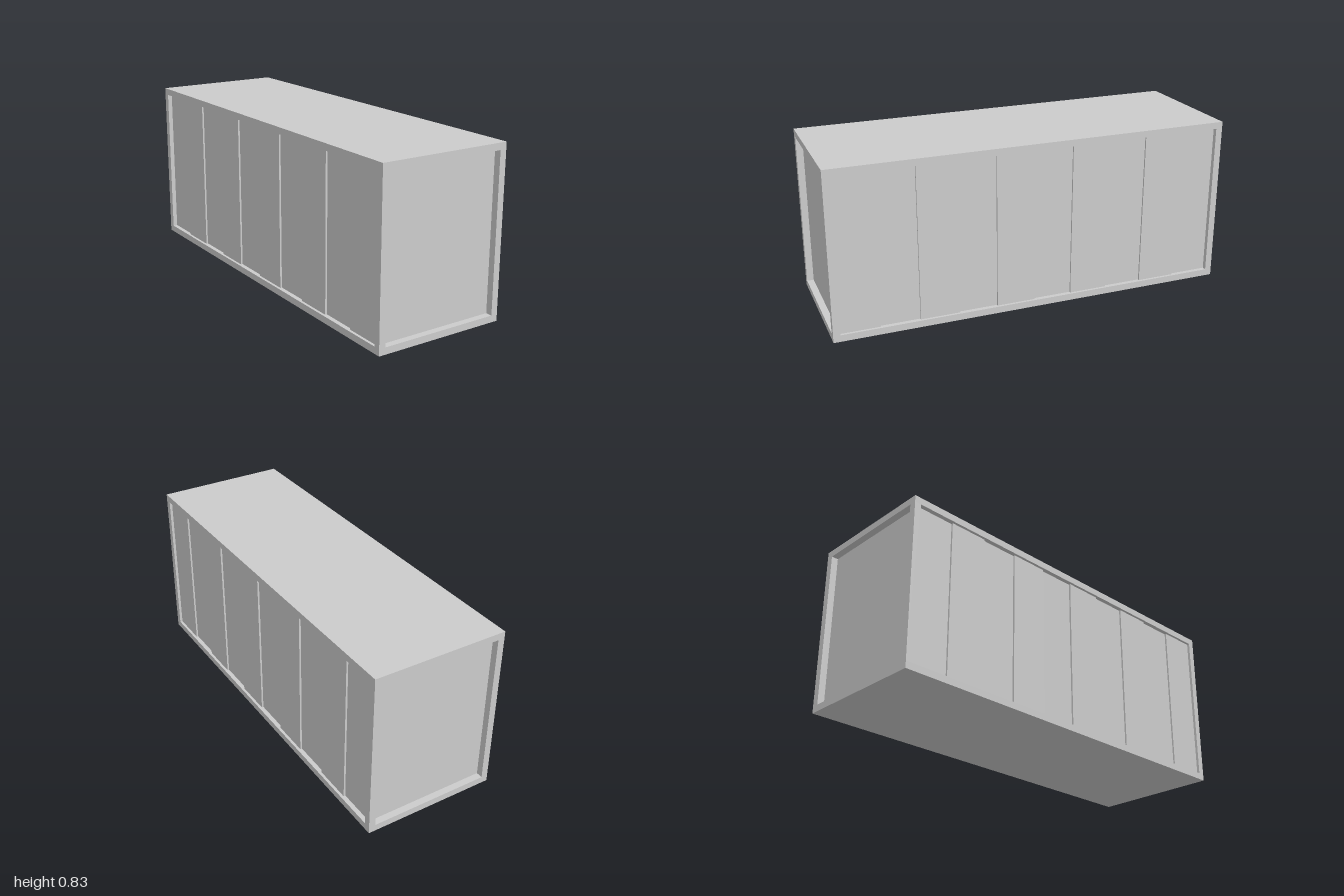
import * as THREE from 'three';

const W = 0.666, H = 0.833, L = 2, T = 0.0333; // outer size and frame thickness
const PANELS = 10, SHALLOW = 0.0135, DEEP = 0.0225; // side wall recesses

export function createModel() {
  const group = new THREE.Group();
  const material = new THREE.MeshStandardMaterial({ color: 0xcccccc, flatShading: true });
  const add = (name, geometry, x, y, z) => {
    const mesh = new THREE.Mesh(geometry, material);
    mesh.name = name;
    mesh.position.set(x, y, z);
    group.add(mesh);
  };
  const innerH = H - 2 * T, innerL = L - 2 * T;

  // Flat floor and roof slabs, also forming the bottom and top rails
  const slab = new THREE.BoxGeometry(W, T, L);
  add('floor', slab, 0, T / 2, 0);
  add('roof', slab, 0, H - T / 2, 0);

  // Corner posts
  const post = new THREE.BoxGeometry(T, innerH, T);
  for (const sx of [-1, 1]) for (const sz of [-1, 1])
    add('cornerPost', post, sx * (W - T) / 2, H / 2, sz * (L - T) / 2);

  // Recessed end walls
  const endWall = new THREE.BoxGeometry(W - 2 * T, innerH, 0.02);
  add('frontWall', endWall, 0, H / 2, innerL / 2 - 0.01);
  add('backWall', endWall, 0, H / 2, -innerL / 2 + 0.01);

  // Stepped side walls: panels alternate shallow and deep from front to back
  for (const side of [1, -1]) {
    const inner = side * (W / 2 - T - 0.005);
    const outline = [new THREE.Vector2(inner, -innerL / 2)];
    for (let i = 0; i < PANELS; i++) {
      const x = side * (W / 2 - (i % 2 ? DEEP : SHALLOW));
      for (const k of [i, i + 1])
        outline.push(new THREE.Vector2(x, -innerL / 2 + k * innerL / PANELS));
    }
    outline.push(new THREE.Vector2(inner, innerL / 2));
    const wall = new THREE.ExtrudeGeometry(new THREE.Shape(outline), { depth: innerH, bevelEnabled: false });
    wall.rotateX(-Math.PI / 2);
    add(side > 0 ? 'leftWall' : 'rightWall', wall, 0, T, 0);
  }
  return group;
}
